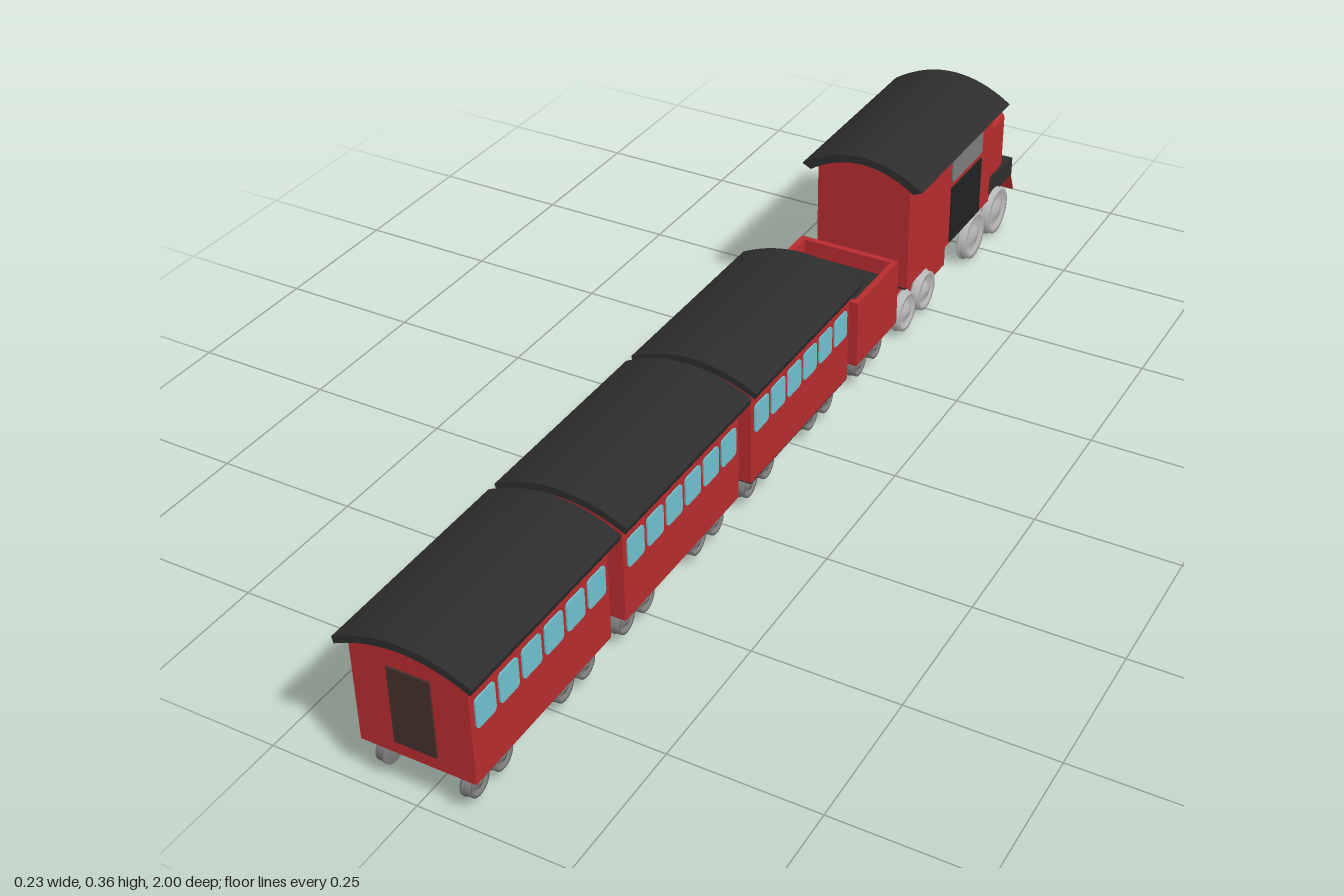
import * as THREE from 'three';
import { RoundedBoxGeometry } from 'three/addons/geometries/RoundedBoxGeometry.js';

const mat = (name, color, side = THREE.FrontSide) => {
  const m = new THREE.MeshStandardMaterial({ color, side });
  m.name = name;
  return m;
};

export function createModel() {
  const red = mat('red paint', 0xb82c2e);
  const black = mat('black', 0x2d2d2d);
  const doorBlack = mat('cab door black', 0x222222);
  const brown = mat('door brown', 0x43302a);
  const blue = mat('coach glass', 0x70c2d0);
  const glass = mat('cab glass', 0x7c7e7e);
  const light = mat('light steel', 0xb8b6b6);
  const steel = mat('steel', 0x7c7c7c);

  const train = new THREE.Group();
  train.name = 'train';

  const add = (parent, name, geo, material, x = 0, y = 0, z = 0) => {
    const m = new THREE.Mesh(geo, material);
    m.name = name;
    m.position.set(x, y, z);
    parent.add(m);
    return m;
  };
  // box given by its limits
  const box = (parent, name, material, x0, x1, y0, y1, z0, z1) =>
    add(parent, name, new THREE.BoxGeometry(x1 - x0, y1 - y0, z1 - z0), material,
      (x0 + x1) / 2, (y0 + y1) / 2, (z0 + z1) / 2);
  const group = (name) => {
    const g = new THREE.Group();
    g.name = name;
    train.add(g);
    return g;
  };

  // points along a shallow arch, from -w to w
  const arch = (w, top, edge, n = 20) => Array.from({ length: n + 1 }, (_, i) => {
    const t = -1 + 2 * i / n;
    return new THREE.Vector2(w * t, top - (top - edge) * t * t);
  });
  const extrude = (points, z0, z1) => {
    const g = new THREE.ExtrudeGeometry(new THREE.Shape(points), { depth: z1 - z0, bevelEnabled: false });
    return g.translate(0, 0, z0);
  };
  const archedBody = (parent, w, bottom, top, edge, z0, z1) => add(parent, 'body', extrude(
    [new THREE.Vector2(w, bottom), new THREE.Vector2(-w, bottom), ...arch(w, top, edge)], z0, z1), red);
  const archedRoof = (parent, outer, inner, z0, z1) => add(parent, 'roof', extrude(
    [...arch(...outer), ...arch(...inner).reverse()], z0, z1), black);

  // stepped wheel: flange inside, raised rim and hub outside
  const wheelGeo = (r) => {
    const p = [[0, 0], [1, 0], [1, 0.004], [0.93, 0.005], [0.93, 0.016], [0.75, 0.016], [0.7, 0.011],
      [0.4, 0.011], [0.36, 0.016], [0.14, 0.016], [0.12, 0.018], [0, 0.018]];
    const g = new THREE.LatheGeometry(p.map(([a, h]) => new THREE.Vector2(a * r, h)), 28);
    return g.rotateZ(-Math.PI / 2);
  };
  const wheels = (parent, r, y, zs, material) => {
    const geo = wheelGeo(r);
    for (const z of zs) for (const s of [-1, 1]) {
      const w = add(parent, 'wheel', geo, material, s * 0.063, y, z);
      if (s < 0) w.rotation.y = Math.PI;
    }
  };

  // rounded side pane facing +x or -x
  const paneGeo = (w, h, r) => {
    const s = new THREE.Shape();
    const a = w / 2, b = h / 2;
    s.moveTo(-a + r, -b).lineTo(a - r, -b).quadraticCurveTo(a, -b, a, -b + r)
      .lineTo(a, b - r).quadraticCurveTo(a, b, a - r, b)
      .lineTo(-a + r, b).quadraticCurveTo(-a, b, -a, b - r)
      .lineTo(-a, -b + r).quadraticCurveTo(-a, -b, -a + r, -b);
    return new THREE.ExtrudeGeometry(s, { depth: 0.003, bevelEnabled: false, curveSegments: 4 });
  };
  const sidePane = (parent, name, geo, material, x, y, z) => {
    for (const s of [-1, 1]) add(parent, name, geo, material, s * x, y, z).rotation.y = s * Math.PI / 2;
  };

  // passenger coaches
  const coachPane = paneGeo(0.046, 0.052, 0.008);
  [0.815, 0.43, 0.045].forEach((zc, i) => {
    const g = group('coach' + (i + 1));
    archedBody(g, 0.096, 0.072, 0.276, 0.254, zc - 0.172, zc + 0.172);
    archedRoof(g, [0.113, 0.288, 0.258], [0.11, 0.275, 0.247], zc - 0.185, zc + 0.185);
    for (let k = 0; k < 6; k++)
      sidePane(g, 'window', coachPane, blue, 0.0955, 0.19, zc + (k - 2.5) * 0.0555);
    box(g, 'endDoor', brown, -0.035, 0.035, 0.095, 0.23, zc + 0.17, zc + 0.175);
    if (i === 2) box(g, 'floor', black, -0.095, 0.095, 0.069, 0.073, zc - 0.171, zc + 0.171);
    wheels(g, 0.025, 0.045, [0.143, 0.085, -0.072, -0.13].map((d) => zc + d), steel);
  });

  // open tender with coal
  const tender = group('tender');
  box(tender, 'floor', red, -0.095, 0.095, 0.073, 0.09, -0.325, -0.165);
  for (const s of [-1, 1]) {
    box(tender, 'sideWall', red, s * 0.0895 - 0.0055, s * 0.0895 + 0.0055, 0.073, 0.2, -0.325, -0.165);
    box(tender, 'endWall', red, -0.084, 0.084, 0.073, 0.2, -0.245 + s * 0.0745 - 0.0055, -0.245 + s * 0.0745 + 0.0055);
  }
  box(tender, 'coal', black, -0.084, 0.084, 0.09, 0.17, -0.314, -0.176);
  wheels(tender, 0.025, 0.045, [-0.213, -0.277], steel);

  // coupling rods between the cars
  const couplings = group('couplings');
  for (const [z0, z1] of [[0.6, 0.645], [0.215, 0.26], [-0.167, -0.125], [-0.38, -0.323]])
    for (const x of [-0.03, 0.03])
      box(couplings, 'couplingRod', black, x - 0.005, x + 0.005, 0.084, 0.094, z0, z1);

  // locomotive cab
  const loco = group('locomotive');
  archedBody(loco, 0.09, 0.115, 0.349, 0.322, -0.74, -0.375);
  archedRoof(loco, [0.117, 0.362, 0.322], [0.1, 0.348, 0.314], -0.75, -0.365);
  box(loco, 'underBox', red, -0.063, 0.063, 0.036, 0.11, -0.605, -0.378);
  box(loco, 'cabFloor', black, -0.085, 0.085, 0.108, 0.116, -0.74, -0.38);
  box(loco, 'frame', black, -0.068, 0.068, 0.085, 0.122, -0.91, -0.6);
  sidePane(loco, 'sideWindow', paneGeo(0.134, 0.054, 0.006), glass, 0.0895, 0.27, -0.623);
  sidePane(loco, 'sideDoor', paneGeo(0.134, 0.114, 0.002), doorBlack, 0.0895, 0.175, -0.623);
  add(loco, 'frontWindow', paneGeo(0.125, 0.05, 0.018), glass, 0, 0.283, -0.7395).rotation.y = Math.PI;

  // hood
  add(loco, 'hood', new RoundedBoxGeometry(0.13, 0.125, 0.15, 4, 0.014), red, 0, 0.181, -0.797);

  // lamps on the front platform
  for (const x of [-0.027, 0.027]) {
    const body = new THREE.CylinderGeometry(0.016, 0.013, 0.024, 20).rotateX(-Math.PI / 2);
    add(loco, 'lamp', body, black, x, 0.135, -0.888);
    const lens = new THREE.CylinderGeometry(0.012, 0.012, 0.004, 20).rotateX(-Math.PI / 2);
    add(loco, 'lampLens', lens, light, x, 0.135, -0.901);
  }
  wheels(loco, 0.04, 0.045, [-0.408, -0.49], light);
  wheels(loco, 0.05, 0.05, [-0.711, -0.821], light);

  // plough: sloping face from a nearly straight top edge to a curved bottom edge
  const n = 16, pos = [], idx = [];
  for (let i = 0; i <= n; i++) {
    const t = -1 + 2 * i / n, bow = 1 - Math.abs(t) ** 1.7;
    pos.push(0.062 * t, 0.106, -0.91 - 0.006 * bow);
    pos.push(0.067 * t, 0.044, -0.928 - 0.072 * bow);
    pos.push(0.067 * t, 0.044, -0.925);
  }
  for (let i = 0; i < n; i++) {
    const a = i * 3, b = a + 3;
    idx.push(a, b, a + 1, b, b + 1, a + 1);
    idx.push(a + 1, b + 1, a + 2, b + 1, b + 2, a + 2);
    idx.push(a + 2, b + 2, a, b + 2, b, a);
  }
  const plough = new THREE.BufferGeometry();
  plough.setAttribute('position', new THREE.Float32BufferAttribute(pos, 3));
  plough.setIndex(idx);
  const flat = plough.toNonIndexed();
  flat.computeVertexNormals();
  const redOpen = red.clone();
  redOpen.name = 'red paint two sided';
  redOpen.side = THREE.DoubleSide;
  add(loco, 'plough', flat, redOpen);

  return train;
}
